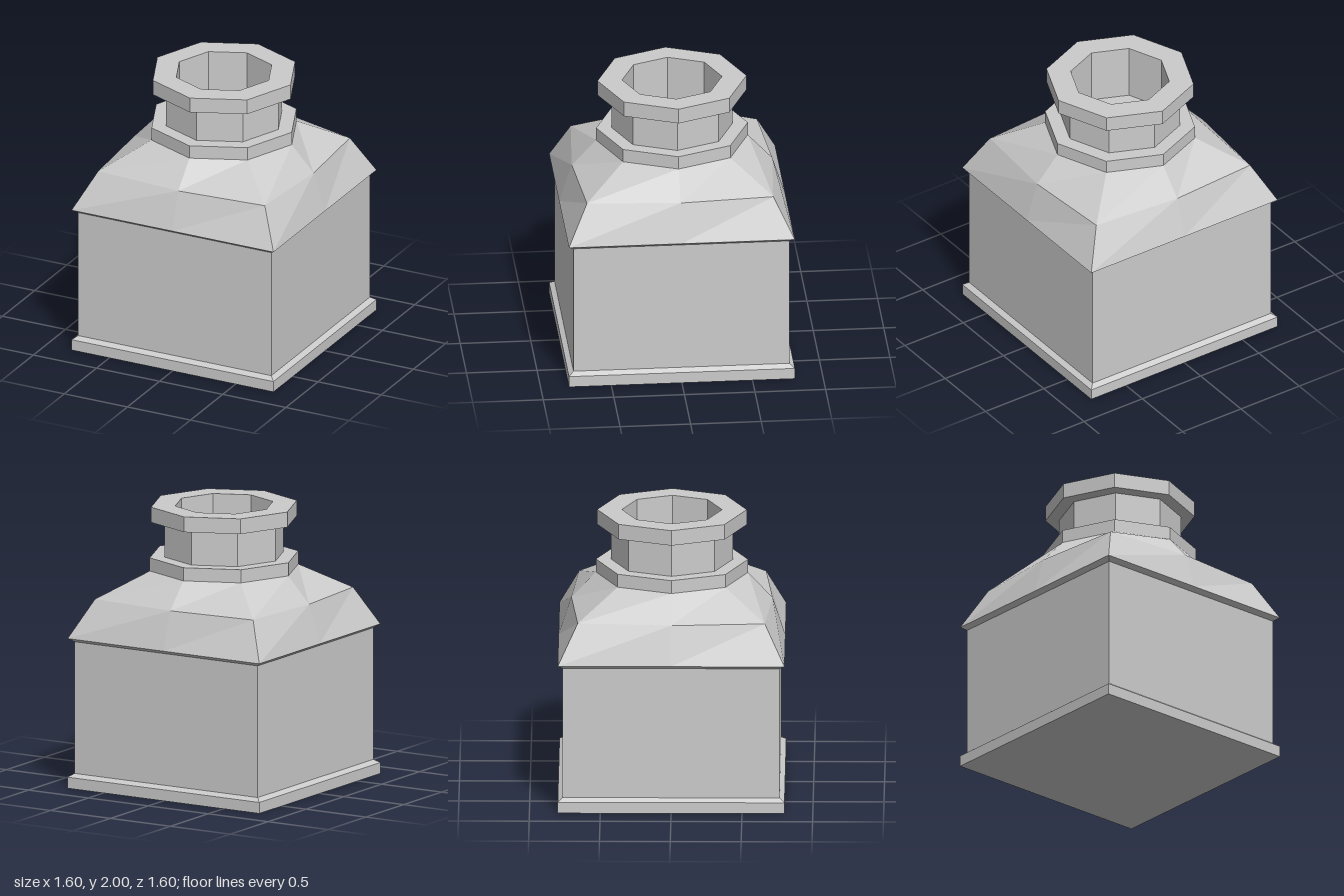
import * as THREE from 'three';

const material = new THREE.MeshStandardMaterial({ color: 0xcccccc, flatShading: true });

// Eight-point ring: mid is the reach along the axes, corner the x and z of the diagonal points
function ring([y, mid, corner]) {
  return Array.from({ length: 8 }, (_, i) => {
    const a = (i * Math.PI) / 4;
    const r = i % 2 ? corner * Math.SQRT2 : mid;
    return new THREE.Vector3(Math.sin(a) * r, y, Math.cos(a) * r);
  });
}

// Skin between successive rings; rings of zero size close an end
function loft(name, levels) {
  const points = [];
  for (let k = 0; k + 1 < levels.length; k++) {
    const low = ring(levels[k]);
    const high = ring(levels[k + 1]);
    for (let i = 0; i < 8; i++) {
      const j = (i + 1) % 8;
      if (levels[k][1] > 0) points.push(low[i], low[j], high[j]);
      if (levels[k + 1][1] > 0) points.push(low[i], high[j], high[i]);
    }
  }
  const geometry = new THREE.BufferGeometry().setFromPoints(points);
  geometry.computeVertexNormals();
  const mesh = new THREE.Mesh(geometry, material);
  mesh.name = name;
  return mesh;
}

export function createModel() {
  const model = new THREE.Group();
  model.name = 'squareJar';
  model.add(
    // Square plinth with a bevelled top
    loft('base', [[0, 0, 0], [0, 0.8, 0.8], [0.08, 0.8, 0.8], [0.105, 0.765, 0.765]]),
    loft('body', [[0.105, 0.765, 0.765], [1.055, 0.765, 0.765]]),
    // Overhanging shoulder turning from square to octagon
    loft('shoulder', [[1.055, 0.765, 0.765], [1.08, 0.8, 0.8], [1.355, 0.71, 0.66], [1.54, 0.537, 0.38]]),
    loft('collar', [[1.54, 0.537, 0.38], [1.635, 0.537, 0.38], [1.635, 0.43, 0.304]]),
    loft('neck', [[1.635, 0.43, 0.304], [1.89, 0.43, 0.304]]),
    loft('lip', [[1.89, 0.43, 0.304], [1.89, 0.528, 0.373], [2, 0.528, 0.373], [2, 0.354, 0.25]]),
    // Inner wall and floor of the opening
    loft('mouth', [[2, 0.354, 0.25], [1.6, 0.354, 0.25], [1.6, 0, 0]]),
  );
  return model;
}
